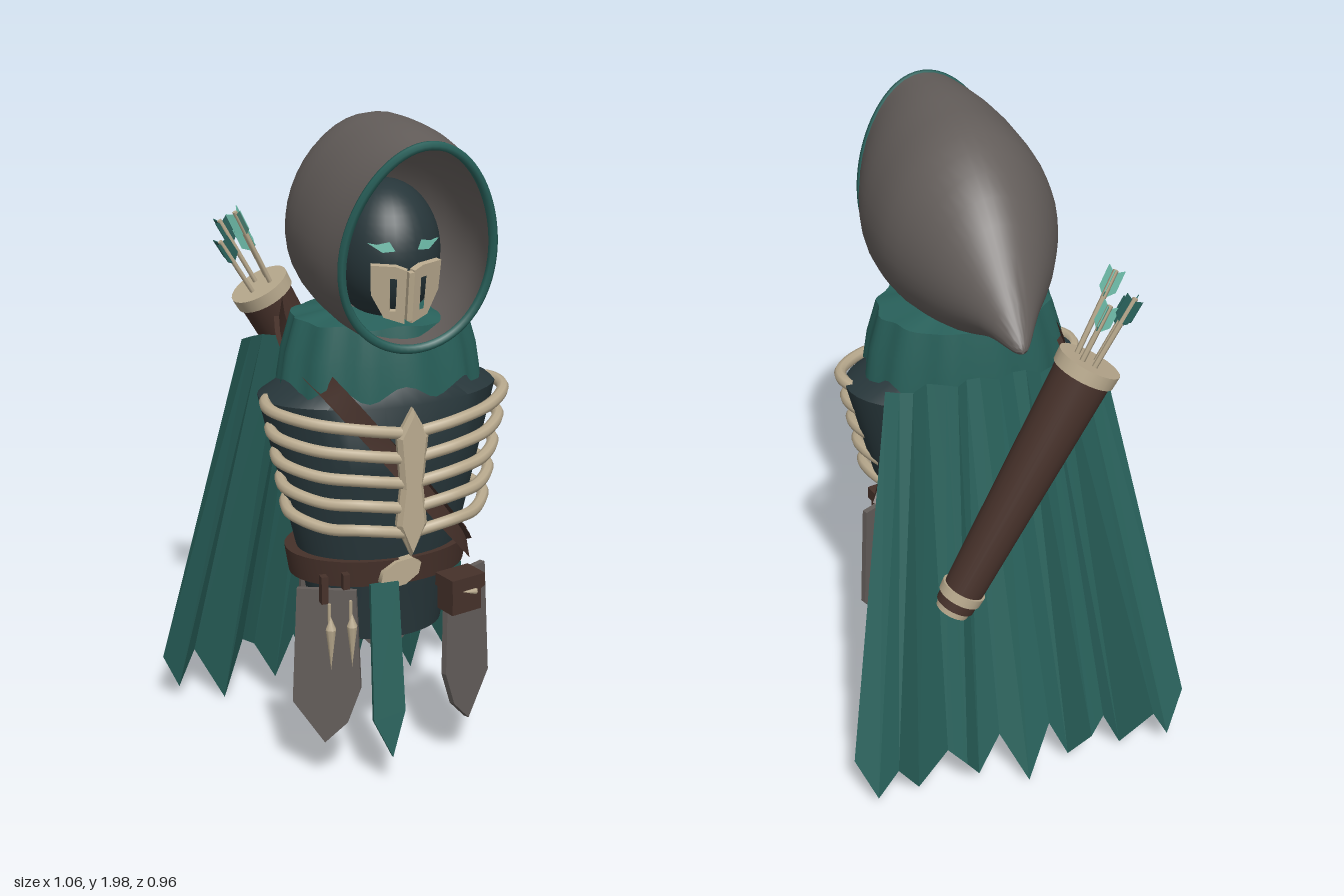
import * as THREE from 'three';
import { toCreasedNormals } from 'three/addons/utils/BufferGeometryUtils.js';

const V = (x, y, z) => new THREE.Vector3(x, y, z);
const CX = 0.03; // body axis

export function createModel() {
  const model = new THREE.Group();
  const mat = (name, color, double) => {
    const m = new THREE.MeshStandardMaterial({ color });
    m.name = name;
    if (double) m.side = THREE.DoubleSide;
    return m;
  };
  const grey = mat('greyCloth', 0x635d5a, true);
  const teal = mat('tealCloth', 0x28605a, true);
  const dark = mat('darkCloth', 0x27363a);
  const bone = mat('bone', 0xb9aa8e);
  const brown = mat('brownLeather', 0x46312a);
  const glow = mat('paleTeal', 0x6dbba8, true);

  const add = (name, geo, material, pos = [0, 0, 0], rot = [0, 0, 0], parent = model) => {
    const m = new THREE.Mesh(geo, material);
    m.name = name;
    m.position.set(...pos);
    m.rotation.set(...rot);
    parent.add(m);
    return m;
  };

  // Skin between rings of points; closed rings wrap around
  const loft = (rings, closed = true, crease = 0.8) => {
    const n = rings[0].length, idx = [];
    for (let i = 0; i < rings.length - 1; i++)
      for (let j = 0; j < (closed ? n : n - 1); j++) {
        const k = (j + 1) % n, a = i * n + j, b = i * n + k;
        idx.push(a, b, a + n, b, b + n, a + n);
      }
    const g = new THREE.BufferGeometry().setFromPoints(rings.flat());
    g.setIndex(idx);
    g.computeVertexNormals();
    return toCreasedNormals(g, crease);
  };
  const around = (n, f) => Array.from({ length: n }, (_, j) => f((j / n) * Math.PI * 2));
  const ellipse = (y, rx, rz, cz = 0.08) => around(40, a => V(CX + rx * Math.sin(a), y, cz + rz * Math.cos(a)));

  // Flat plate from an outline
  const plate = (pts, depth, hole) => {
    const s = new THREE.Shape(pts.map(p => new THREE.Vector2(...p)));
    if (hole) s.holes.push(new THREE.Path(hole.map(p => new THREE.Vector2(...p))));
    return new THREE.ExtrudeGeometry(s, { depth, bevelEnabled: false });
  };
  const flip = (pts, s) => pts.map(([x, y]) => [x * s, y]);

  // Torso and shoulder cowl
  add('torso', loft([
    [0.45, 0.001, 0.001], [0.45, 0.2, 0.14], [0.6, 0.225, 0.155], [0.72, 0.25, 0.175], [1.0, 0.315, 0.2],
    [1.2, 0.362, 0.215], [1.25, 0.27, 0.19], [1.27, 0.001, 0.001],
  ].map(r => ellipse(...r))), dark);
  add('cowl', loft([[1.24, 0.3, 0.225, 0.022], [1.33, 0.285, 0.22, 0.006], [1.43, 0.255, 0.205, 0.004], [1.455, 0.1, 0.09, 0]]
    .map(([y, rx, rz, w]) => around(72, a => {
      const f = 1 + 0.025 * Math.sin(a * 12);
      return V(CX + rx * f * Math.sin(a), y + w * Math.cos(a * 9), 0.085 + rz * f * Math.cos(a));
    }))), teal);

  // Hood: sections from the front opening back to the tip
  const sections = [ // zTop, yTop, zBottom, yBottom, halfWidth
    [0.47, 1.975, 0.36, 1.38, 0.222], [0.33, 1.993, 0.28, 1.383, 0.25], [0.18, 1.998, 0.18, 1.39, 0.262],
    [0, 1.983, 0.02, 1.41, 0.25], [-0.18, 1.88, -0.15, 1.45, 0.18],
    [-0.33, 1.7, -0.31, 1.52, 0.085], [-0.42, 1.588, -0.42, 1.535, 0.026], [-0.443, 1.556, -0.443, 1.545, 0.003],
  ];
  const column = k => new THREE.CatmullRomCurve3(sections.map((s, i) => V(s[k], i, 0)));
  const cols = [0, 1, 2, 3, 4].map(column);
  const hoodRing = (t, shrink = 1) => {
    const [zt, yt, zb, yb, w] = cols.map(c => c.getPoint(t).x);
    return around(40, a => {
      const c = Math.cos(a), u = 0.5 + 0.5 * c * shrink;
      const sag = -0.02 * Math.sin(a) ** 2 * (1 - t);
      return V(CX + w * shrink * Math.sin(a) * (1 - 0.12 * c), yb + (yt - yb) * u, zb + (zt - zb) * u + sag);
    });
  };
  const steps = Array.from({ length: 22 }, (_, i) => i / 21);
  add('hood', loft(steps.map(t => hoodRing(t)), true, 1.2), grey);
  add('hoodLining', loft(steps.slice(0, 16).map(t => hoodRing(t, 0.95)), true, 1.2), grey);
  add('hoodTrim', new THREE.TubeGeometry(new THREE.CatmullRomCurve3(hoodRing(0, 0.975), true), 80, 0.013, 6, true), teal);

  // Head, eyes and bone mask
  const head = add('head', new THREE.SphereGeometry(1, 32, 24), dark, [CX, 1.62, 0.13]);
  head.scale.set(0.155, 0.2, 0.18);
  for (const s of [-1, 1]) {
    add('eye', plate(flip([[-0.035, -0.012], [0, -0.014], [0.04, 0.014], [0.015, 0.008], [-0.02, 0.014]], s), 0.008),
      glow, [CX + s * 0.065, 1.662, 0.288], [-0.15, s * 0.4, 0]);
    add('maskHalf', plate(
      flip([[0.004, 0.075], [0.035, 0.085], [0.105, 0.085], [0.1, 0], [0.062, -0.065], [0.004, -0.08]], s), 0.02,
      flip([[0.03, 0.05], [0.05, 0.05], [0.046, -0.045], [0.03, -0.045]], s)),
      bone, [CX, 1.53, 0.312], [0.12, s * 0.4, 0]);
  }
  add('maskRidge', new THREE.BoxGeometry(0.016, 0.14, 0.02), bone, [CX, 1.53, 0.328], [0.12, 0, 0]);

  // Rib cage armour
  for (const s of [-1, 1])
    for (let i = 0; i < 5; i++) {
      const y = 1.14 - i * 0.075, o = 1.19 - i * 0.08, k = 1 - i * 0.04;
      const path = [[0.01, y, 0.355], [0.14, y + 0.02, 0.345], [0.27 * k, o - 0.015, 0.285],
        [0.355 * k, o, 0.18], [0.35 * k, o + 0.005, 0.1], [0.29 * k, o, 0.03 - i * 0.012]];
      add('rib', new THREE.TubeGeometry(new THREE.CatmullRomCurve3(path.map(([x, py, z]) => V(CX + s * x, py, z))), 28, 0.018, 8), bone);
    }
  const half = [[0, 1.2], [0.035, 1.13], [0.022, 0.98], [0.034, 0.87], [0, 0.785]];
  add('sternum', new THREE.ExtrudeGeometry(
    new THREE.Shape([...half, ...flip(half.slice(1, 4).reverse(), -1)].map(p => new THREE.Vector2(...p))),
    { depth: 0.015, bevelThickness: 0.014, bevelSize: 0.012, bevelSegments: 1 }), bone, [CX, 0, 0.348]);

  // Strap across the chest
  const strapPath = new THREE.CatmullRomCurve3([V(-0.16, 1.37, -0.28), V(-0.21, 1.345, -0.08), V(-0.225, 1.32, 0.12),
    V(-0.17, 1.25, 0.27), V(0.02, 1.02, 0.31), V(0.15, 0.86, 0.3), V(0.25, 0.74, 0.24), V(0.29, 0.69, 0.19)]);
  add('strap', loft(Array.from({ length: 31 }, (_, i) => {
    const p = strapPath.getPoint(i / 30), t = strapPath.getTangent(i / 30);
    const out = V(p.x - CX, 0.08, p.z - 0.06).projectOnPlane(t).normalize();
    const side = new THREE.Vector3().crossVectors(t, out);
    return [[-1, -1], [1, -1], [1, 1], [-1, 1]].map(([a, b]) =>
      p.clone().addScaledVector(side, a * 0.03).addScaledVector(out, b * 0.008));
  }), true, 0.6), brown);

  // Belt, buckle and pouch
  add('belt', loft([[0.64, 0.2, 0.13], [0.64, 0.272, 0.185], [0.722, 0.285, 0.195], [0.722, 0.22, 0.15]]
    .map(r => ellipse(...r, 0.075)), true, 0.6), brown);
  add('buckle', new THREE.CylinderGeometry(0.066, 0.066, 0.03, 8), bone, [CX, 0.683, 0.268], [Math.PI / 2, Math.PI / 8, 0]).scale.set(1.03, 1, 0.6);
  const pouch = new THREE.Group();
  pouch.name = 'pouch';
  pouch.position.set(0.215, 0.6, 0.285);
  pouch.rotation.y = 0.25;
  model.add(pouch);
  add('pouchBody', new THREE.BoxGeometry(0.105, 0.11, 0.075), brown, [0, 0, 0], [0, 0, 0], pouch);
  add('pouchFlap', plate([[-0.06, 0.06], [0.06, 0.06], [0.06, 0.02], [0, -0.005], [-0.06, 0.02]], 0.085), brown, [0, 0, -0.04], [0, 0, 0], pouch);
  add('pouchClasp', new THREE.ConeGeometry(0.01, 0.05, 6), bone, [0, 0.015, 0.047], [0, 0, 1.4], pouch);

  // Hanging fangs with leather loops
  for (const x of [-0.2, -0.135]) {
    add('fangLoop', new THREE.BoxGeometry(0.02, 0.085, 0.025), brown, [x, 0.655, 0.275 + x * 0.1]);
    add('fangCord', new THREE.CylinderGeometry(0.005, 0.005, 0.08, 6), bone, [x, 0.59, 0.305]);
    add('fang', new THREE.ConeGeometry(0.016, 0.13, 8), bone, [x, 0.49, 0.318], [Math.PI, 0, 0]);
    add('fangTop', new THREE.ConeGeometry(0.016, 0.04, 8), bone, [x, 0.575, 0.318]);
  }

  // Hanging cloth panels
  const panel = [[-0.09, 0], [0.085, 0], [0.105, -0.36], [0.01, -0.49], [-0.06, -0.42], [-0.1, -0.31]];
  const backPanel = [[-0.08, 0], [0.075, 0], [0.09, -0.38], [0.02, -0.47], [-0.08, -0.36]];
  for (const s of [-1, 1]) {
    add('frontPanel', plate(flip(panel, s), 0.018), grey, [CX + s * 0.215, 0.65, 0.235], [-0.04, s * 0.5, 0]);
    add('backPanel', plate(flip(backPanel, s), 0.015), grey, [CX + s * 0.1, 0.655, -0.122], [0.11, s * -0.08, 0]);
  }
  add('tabard', plate([[-0.042, 0], [0.045, 0], [0.05, -0.4], [0.005, -0.54], [-0.05, -0.42]], 0.014), teal, [-0.025, 0.66, 0.275], [-0.13, 0, 0]);

  // Pleated cape with a ragged hem
  const hem = [[0.08, 0.19, -0.42], [0.145, 0.045, -0.42], [0.2, 0.15, -0.475], [0.25, 0.19, -0.44],
    [0.33, 0.015, -0.39], [0.41, 0.17, -0.46], [0.47, 0.055, -0.44], [0.53, 0.19, -0.4]];
  const hemRow = [...hem.map(([x, y, z]) => [-x, y, z]).reverse(), [0, 0.025, -0.475], ...hem];
  add('cape', loft([hemRow.map(([x, y, z]) => V(x, y, z)),
    hemRow.map(([x, , z]) => V(0.01 + x * 0.61, 1.31, -0.16 + (z + 0.42) * 0.5))].reverse(), false, 0.1), teal);

  // Quiver slung across the back
  const top = V(-0.2, 1.42, -0.34), bottom = V(0.21, 0.68, -0.375);
  const quiver = new THREE.Group();
  quiver.name = 'quiver';
  quiver.position.copy(top).add(bottom).multiplyScalar(0.5);
  quiver.quaternion.setFromUnitVectors(V(0, 1, 0), top.clone().sub(bottom).normalize());
  model.add(quiver);
  const ring = (name, r1, r2, h, y, m) => add(name, new THREE.CylinderGeometry(r1, r2, h, 24), m, [0, y, 0], [0, 0, 0], quiver);
  ring('quiverBody', 0.085, 0.058, 0.82, 0, brown);
  ring('quiverTopRim', 0.094, 0.092, 0.04, 0.405, bone);
  ring('quiverLowerRim', 0.067, 0.065, 0.03, -0.365, bone);
  ring('quiverFoot', 0.054, 0.05, 0.03, -0.415, bone);

  // Arrows with three feathers each
  [[-0.03, 0.02, 0.2], [0.03, 0.03, 0.26], [0, -0.035, 0.23], [0.035, -0.02, 0.18]].forEach(([x, z, len], i) => {
    const arrow = new THREE.Group();
    arrow.name = 'arrow';
    arrow.position.set(x, 0.42, z);
    arrow.rotation.set(z * 1.5, 0, -x * 1.5);
    quiver.add(arrow);
    add('arrowShaft', new THREE.CylinderGeometry(0.008, 0.008, len, 6), bone, [0, len / 2, 0], [0, 0, 0], arrow);
    for (let k = 0; k < 3; k++)
      add('feather', plate([[0, 0], [0.028, 0.025], [0.028, 0.09], [0, 0.075]], 0.003), i % 2 ? glow : teal,
        [0, len - 0.085, 0], [0, k * 2.094 + i, 0], arrow);
  });
  return model;
}
